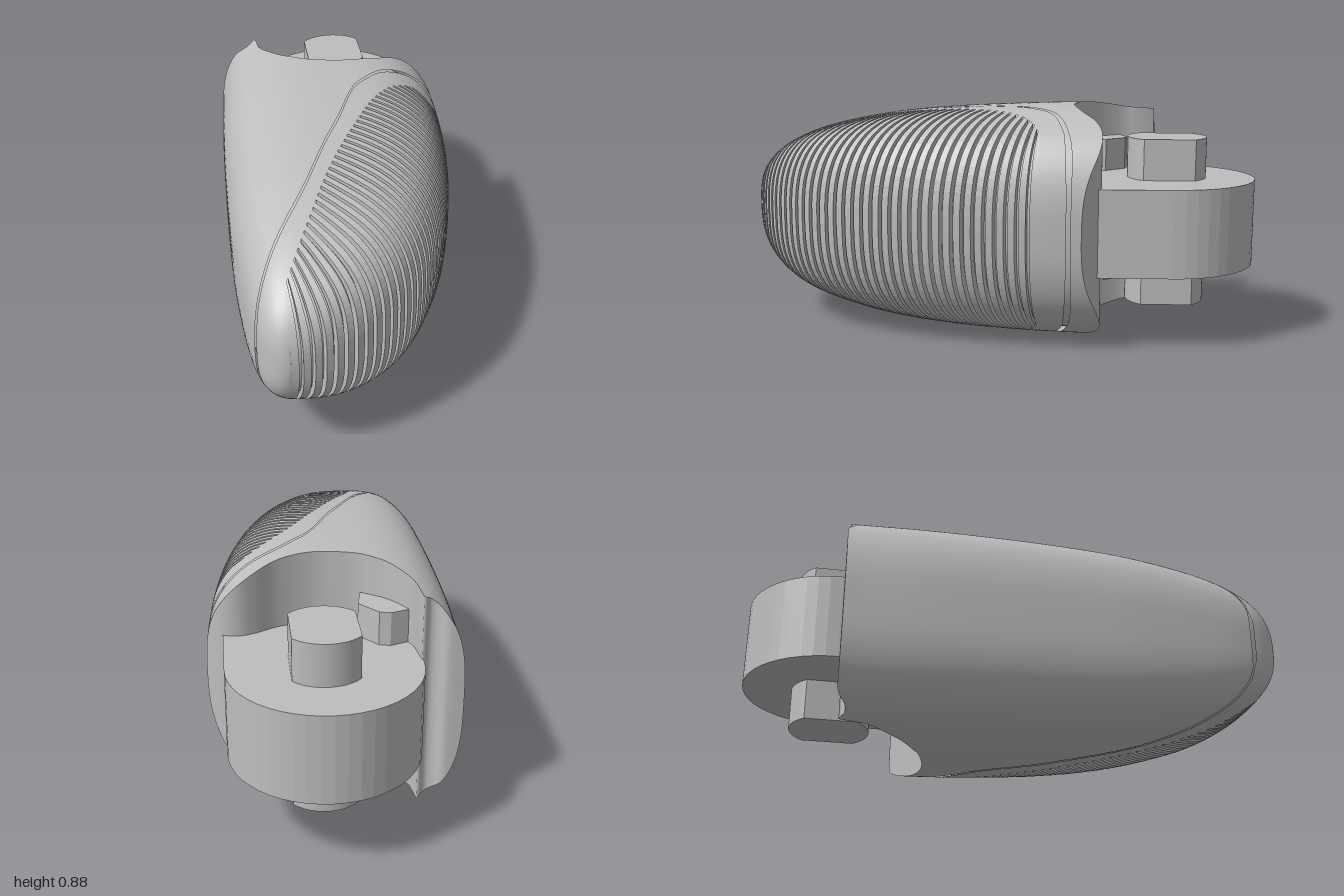
import * as THREE from 'three';

const MID = 0.44;
// Body outline tables, sampled evenly in q = sqrt(1 - z), so the nose stays round
const RIGHT = [-0.3, -0.2, -0.08, 0.045, 0.16, 0.25, 0.33, 0.392, 0.434, 0.453, 0.453];
const LEFT = [-0.3, -0.345, -0.385, -0.412, -0.43, -0.443, -0.453, -0.455, -0.453, -0.445, -0.43];
const HALF = [0, 0.107, 0.19, 0.26, 0.317, 0.36, 0.395, 0.418, 0.432, 0.44, 0.44];

function sample(table, z) {
  const q = Math.sqrt(Math.max(0, 1 - z)) / 0.13;
  const i = Math.min(Math.floor(q), table.length - 2), f = q - i;
  const at = (k) => (k < 0 ? 2 * table[0] - table[1] : table[Math.min(k, table.length - 1)]);
  const [a, b, c, d] = [at(i - 1), at(i), at(i + 1), at(i + 2)];
  return b + 0.5 * f * (c - a + f * (2 * a - 5 * b + 4 * c - d + f * (3 * (b - c) + d - a)));
}
const centre = (z) => (sample(RIGHT, z) + sample(LEFT, z)) / 2;
const halfWidth = (z) => (sample(RIGHT, z) - sample(LEFT, z)) / 2;
// Section roundness: squarer on the -x side
const exponent = (u) => (u < 0 ? 3.1 : 2.7);

// Half thickness of the rounded body above a plan position
function thickness(x, z) {
  const u = (x - centre(z)) / Math.max(halfWidth(z), 1e-5), n = exponent(u);
  return Math.max(0, sample(HALF, z)) * Math.pow(1 - Math.pow(Math.min(1, Math.abs(u)), n), 1 / n);
}

// Grid surface from a rule fn(s, t) -> [x, y, z]
function sheet(ns, nt, fn) {
  const pos = [], idx = [];
  for (let i = 0; i <= ns; i++) for (let j = 0; j <= nt; j++) pos.push(...fn(i / ns, j / nt));
  for (let i = 0; i < ns; i++) for (let j = 0; j < nt; j++) {
    const a = i * (nt + 1) + j, b = a + nt + 1;
    idx.push(a, b, a + 1, b, b + 1, a + 1);
  }
  const g = new THREE.BufferGeometry();
  g.setAttribute('position', new THREE.Float32BufferAttribute(pos, 3));
  g.setIndex(idx);
  g.computeVertexNormals();
  return g;
}

const vecs = (pts) => pts.map(([x, z]) => new THREE.Vector2(x, z));
const spline = (pts) => new THREE.SplineCurve(vecs(pts));

// z along a plan polyline at a given key (points sorted by key)
function lookup(list, key) {
  if (key <= list[0][0]) return list[0][1];
  for (let i = 1; i < list.length; i++) {
    const [a, za] = list[i - 1], [b, zb] = list[i];
    if (key <= b) return za + (zb - za) * (key - a) / Math.max(b - a, 1e-6);
  }
  return list[list.length - 1][1];
}

export function createModel() {
  const group = new THREE.Group();
  const grey = new THREE.MeshStandardMaterial({ color: 0xbebebe, side: THREE.DoubleSide });
  grey.name = 'plain grey';
  const add = (name, geometry, parent = group) => {
    const mesh = new THREE.Mesh(geometry, grey);
    mesh.name = name;
    parent.add(mesh);
    return mesh;
  };

  // Plan curves (x, z): seam, edge of the ribbed field, outer contour, rear rim
  const seamPts = [[-0.4, 0.87], [-0.33, 0.73], [-0.2, 0.5], [-0.1, 0.27], [-0.03, 0.12],
    [0.05, -0.08], [0.12, -0.17], [0.2, -0.24], [0.33, -0.285]];
  const seam = spline(seamPts);
  const ribEdge = spline([[-0.305, 0.88], [-0.22, 0.7], [-0.1, 0.42], [0.02, 0.18], [0.12, 0],
    [0.2, -0.1], [0.27, -0.155], [0.33, -0.18]]);
  const outer = spline(Array.from({ length: 31 }, (_, i) => {
    const z = 1 - (1.082 * i / 30) ** 2;
    return [sample(RIGHT, z), z];
  }));
  const rim = spline([[-0.43, -0.66], [-0.375, -0.657], [-0.345, -0.632], [-0.315, -0.625],
    [-0.288, -0.645], [-0.282, -0.59], [-0.265, -0.52], [-0.2, -0.42], [-0.14, -0.37],
    [-0.08, -0.335], [0.05, -0.31], [0.18, -0.335], [0.27, -0.385], [0.33, -0.405], [0.39, -0.39],
    [0.45, -0.33]]).getPoints(90).map((p) => [p.x, p.y]);
  const seamByU = spline([...seamPts, [0.4, -0.295], [0.46, -0.29]]).getPoints(120)
    .map((p) => [(p.x - centre(p.y)) / halfWidth(p.y), p.y]);

  // Point on a body section: angle runs around the loop
  const power = (v, n) => Math.sign(v) * Math.pow(Math.abs(v), 2 / n);
  const across = (angle) => -power(Math.cos(angle), exponent(-Math.cos(angle)));
  const loop = (angle, z, inset = 0) => [
    centre(z) + Math.max(0, halfWidth(z) - inset) * across(angle),
    MID + Math.max(0, sample(HALF, z) - inset) * power(Math.sin(angle), exponent(-Math.cos(angle))), z];
  const rimZ = (angle) => lookup(rim, 0.005 + 0.445 * across(angle));
  const seamZ = (angle) => lookup(seamByU, across(angle));

  // Smooth shell from the rear rim to the seam
  add('shell', sheet(160, 28, (s, t) => {
    const a = s * Math.PI * 2, z0 = rimZ(a);
    return loop(a, z0 + (seamZ(a) - z0) * t);
  }));
  // Concave wall closing the rear of the shell
  add('rearPocketWall', sheet(80, 1, (s, t) => {
    const a = s * Math.PI, p = loop(a, rimZ(a));
    return [p[0], t ? 2 * MID - p[1] : p[1], p[2]];
  }));
  // Inner core forming the floor of the grooves
  add('core', sheet(40, 64, (s, t) => {
    const p = loop(t * Math.PI * 2, 1 - (1.135 * s) ** 2, 0.02);
    return [p[0], p[1], p[2] - 0.018];
  }));

  // Grip border: top and bottom bands, and wrapped pieces at nose and rear
  const grip = new THREE.Group();
  grip.name = 'grip';
  group.add(grip);
  for (const side of [1, -1]) {
    add(side > 0 ? 'topBorder' : 'bottomBorder', sheet(60, 10, (s, t) => {
      const a = seam.getPointAt(s), b = ribEdge.getPointAt(s), f = t * t;
      const x = a.x + (b.x - a.x) * f, z = a.y + 0.016 + (b.y - a.y - 0.016) * f;
      return [x, MID + side * thickness(x, z), z];
    }), grip);
  }
  // Wraps over the contour: from plan curve a (inner) out to plan curve b (contour)
  const wrap = (a, b, ns, nv) => sheet(ns, nv, (s, t) => {
    const v = 2 * t - 1, f = 1 - v * v, [ax, az] = a(s), [bx, bz] = b(s);
    const x = ax + (bx - ax) * f, z = az + (bz - az) * f;
    return [x, MID + Math.sign(v) * (f === 1 ? 0 : thickness(x, z)), z];
  });
  add('noseBorder', wrap((s) => [-0.305 + 0.005 * s, 0.88 + 0.12 * s], (s) => {
    const z = 1 - 0.114 * (1 - s) ** 2;
    return [sample(LEFT, z), z];
  }, 16, 28), grip);
  add('rearBorder', wrap((s) => [0.33, -0.269 + 0.089 * s], (s) => {
    const z = -0.276 + 0.106 * s;
    return [sample(RIGHT, z), z];
  }, 6, 32), grip);

  // Raised ribs: each has two side walls and a curved outer face
  const RIBS = 38, DEPTH = 0.022, FILL = 0.64;
  for (let i = 0; i < RIBS; i++) {
    const stations = [[0, DEPTH], [0, 0], [FILL, 0], [FILL, DEPTH]].map(([k, d]) => {
      const t = Math.min(1, (i + k) / (RIBS - 1 + FILL));
      return { a: ribEdge.getPointAt(t), b: outer.getPointAt(t), d };
    });
    const rib = sheet(3, 32, (s, t) => {
      const { a, b, d } = stations[Math.round(s * 3)];
      const v = 2 * t - 1, f = 1 - v * v, dir = b.clone().sub(a).normalize();
      const x = a.x + (b.x - a.x) * f, z = a.y + (b.y - a.y) * f;
      const h = f === 1 ? 0 : thickness(x, z) * (1 - d / 0.4);
      return [x - dir.x * d * f, MID + Math.sign(v) * h, z - dir.y * d * f];
    }).toNonIndexed();
    rib.computeVertexNormals();
    add('rib', rib, grip);
  }

  // Upright prism from a plan shape drawn in (x, -z)
  const prism = (shape, y0, y1) => new THREE.ExtrudeGeometry(shape,
    { depth: y1 - y0, bevelEnabled: false, curveSegments: 12 }).rotateX(-Math.PI / 2).translate(0, y0, 0);

  // Round hinge tab running into the body
  const tab = new THREE.Shape();
  tab.moveTo(-0.285, 0.27);
  tab.lineTo(0.39, 0.27);
  tab.lineTo(0.39, 0.662);
  tab.absarc(0.0525, 0.662, 0.3375, 0, Math.PI, false);
  add('hingeTab', prism(tab, 0.28, 0.605));

  // Pivot pin with two flats
  const pin = new THREE.Shape();
  const flat = Math.acos(0.115 / 0.15);
  pin.absarc(0.055, 0.665, 0.15, flat, Math.PI - flat, false);
  pin.absarc(0.055, 0.665, 0.15, Math.PI + flat, Math.PI * 2 - flat, false);
  add('pivotPin', prism(pin, 0.125, 0.76));

  // Stop blocks in the pocket, above and below the tab
  const stop = new THREE.Shape(vecs([[-0.3, 0.49], [-0.19, 0.53], [-0.15, 0.52], [-0.085, 0.44],
    [-0.105, 0.34], [-0.2, 0.38]].reverse()));
  add('upperStop', prism(stop, 0.6, 0.73));
  add('lowerStop', prism(stop, 0.155, 0.285));
  return group;
}
